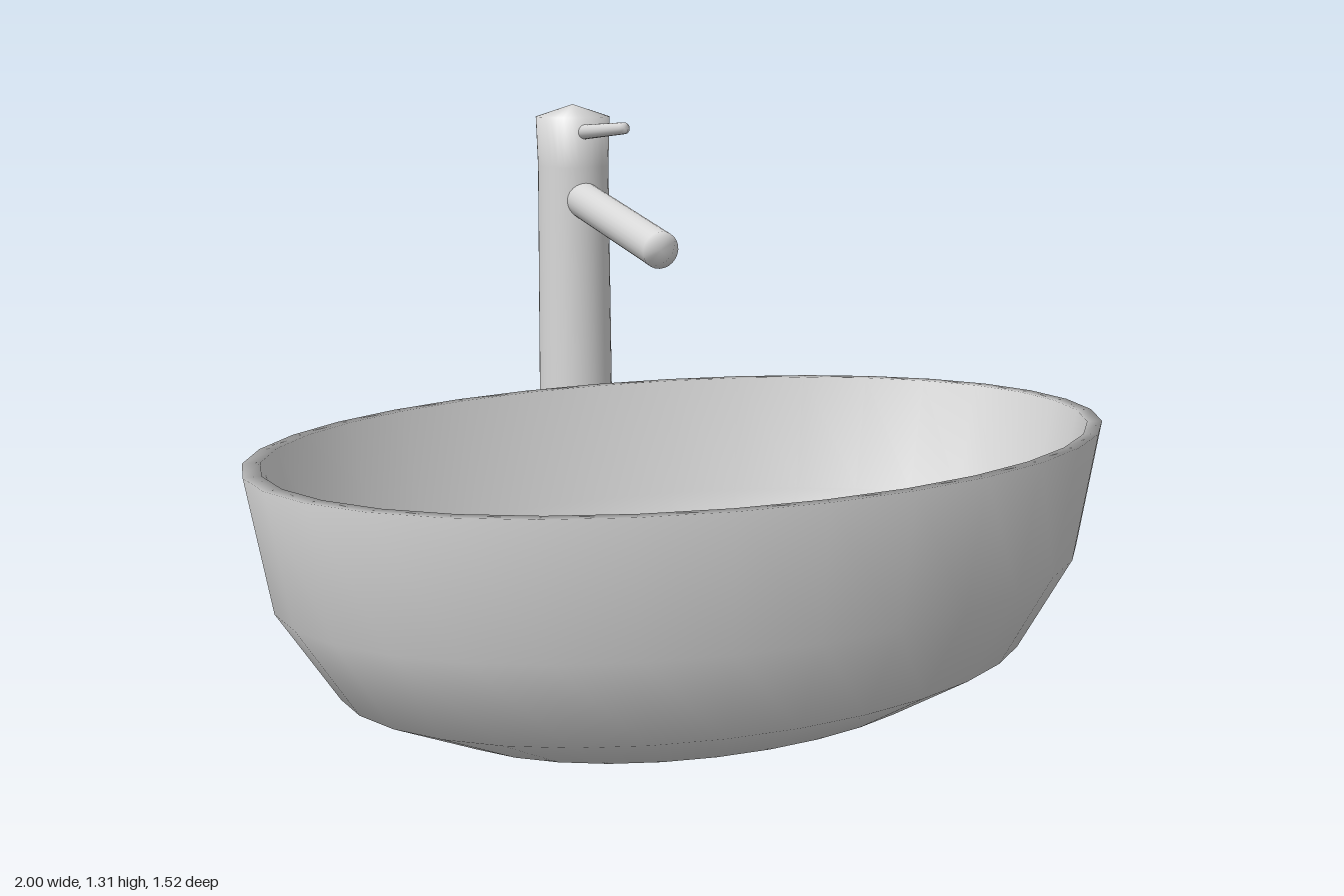
import * as THREE from 'three';

// Smooth turned shape from [radius, height] pairs
function turned(name, profile, material, segments = 32) {
  const points = profile.map(([r, y]) => new THREE.Vector2(r, y));
  const geometry = new THREE.LatheGeometry(points, segments);
  // Round the shading at the closed tips
  const { position, normal } = geometry.attributes;
  for (let i = 0; i < position.count; i++) {
    if (Math.hypot(position.getX(i), position.getZ(i)) < 1e-6) {
      normal.setXYZ(i, 0, Math.sign(normal.getY(i)), 0);
    }
  }
  const mesh = new THREE.Mesh(geometry, material);
  mesh.name = name;
  return mesh;
}

// Closed rod, optionally tapered, between two points
function rod(name, from, to, startRadius, endRadius, material) {
  const start = new THREE.Vector3(...from);
  const axis = new THREE.Vector3(...to).sub(start);
  const length = axis.length();
  const mesh = turned(name, [[0, 0], [startRadius, 0], [endRadius, length], [0, length]], material, 24);
  mesh.position.copy(start);
  mesh.quaternion.setFromUnitVectors(new THREE.Vector3(0, 1, 0), axis.normalize());
  return mesh;
}

export function createModel() {
  const model = new THREE.Group();
  model.name = 'basinWithTap';
  const grey = new THREE.MeshStandardMaterial({ color: 0xd8d8d8, side: THREE.DoubleSide });
  grey.name = 'lightGrey';

  // Oval basin: underside, outer wall, rim, inner wall and floor
  const basin = new THREE.Group();
  basin.name = 'basin';
  basin.position.z = 0.125;
  const bowl = turned('bowl', [
    [0, 0], [0.61, 0], [0.82, 0.098], [0.95, 0.305], [1, 0.6],
    [0.962, 0.6], [0.91, 0.31], [0.78, 0.13], [0.7, 0.095], [0, 0.095],
  ], grey);
  bowl.scale.z = 0.635;
  basin.add(bowl);

  // Round drain cover on the basin floor
  const drain = new THREE.Mesh(new THREE.CylinderGeometry(0.133, 0.133, 0.008, 32), grey);
  drain.name = 'drainCover';
  drain.position.y = 0.098;
  basin.add(drain);

  // Tall tap: open-bottomed column with a low conical cap
  const tap = new THREE.Group();
  tap.name = 'tap';
  const column = turned('column', [
    [0.1, 0], [0.091, 1.15], [0.095, 1.275], [0, 1.306],
  ], grey);
  column.position.z = -0.66;
  tap.add(column);

  // Sloping spout and slim lever
  tap.add(rod('spout', [0, 1.07, -0.61], [0, 0.992, -0.077], 0.046, 0.044, grey));
  tap.add(rod('lever', [0, 1.237, -0.6], [0, 1.26, -0.3], 0.019, 0.014, grey));

  model.add(basin, tap);
  return model;
}
